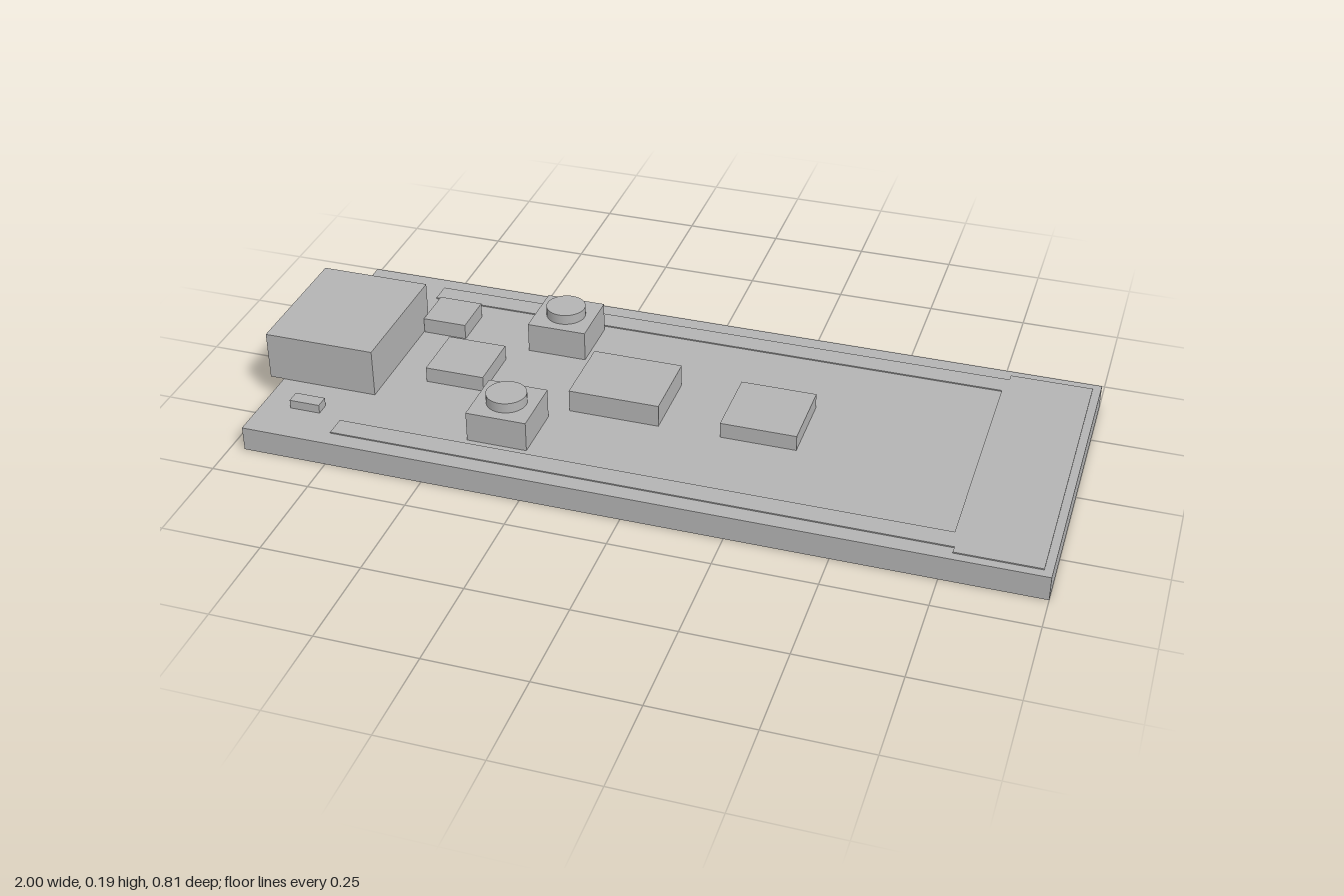
import * as THREE from 'three';

const TOP = 0.0625; // upper face of the board

export function createModel() {
  const grey = new THREE.MeshStandardMaterial({ color: 0xb3b3b3 });
  grey.name = 'plain grey';
  const model = new THREE.Group();
  model.name = 'circuitBoard';

  const add = (name, geometry, x, y, z, parent = model) => {
    const mesh = new THREE.Mesh(geometry, grey);
    mesh.name = name;
    mesh.position.set(x, y, z);
    parent.add(mesh);
    return mesh;
  };
  // Box given by its x range, height range, z centre and depth
  const block = (name, x0, x1, y0, y1, z, depth, parent) =>
    add(name, new THREE.BoxGeometry(x1 - x0, y1 - y0, depth), (x0 + x1) / 2, (y0 + y1) / 2, z, parent);

  // Board
  block('board', -0.964, 1, 0, TOP, 0, 0.806);

  // Thin raised layer: two side rails joined by a wide end strip
  const layer = new THREE.Shape([
    [-0.75, 0.36], [0.775, 0.36], [0.775, 0.38], [0.98, 0.38],
    [0.98, -0.38], [0.775, -0.38], [0.775, -0.36], [-0.75, -0.36],
    [-0.75, -0.305], [0.765, -0.305], [0.765, 0.305], [-0.75, 0.305],
  ].map(([x, z]) => new THREE.Vector2(x, z)));
  const layerGeo = new THREE.ExtrudeGeometry(layer, { depth: 0.003, bevelEnabled: false });
  layerGeo.rotateX(-Math.PI / 2);
  add('raisedTrace', layerGeo, 0, TOP, 0);

  // Connector shell, open towards -x and closed at the inner end
  const w = 0.173, h = 0.124, t = 0.02;
  const rect = (C, x, y0, y1) => {
    const path = new C();
    path.moveTo(-x, y0).lineTo(x, y0).lineTo(x, y1).lineTo(-x, y1).closePath();
    return path;
  };
  const shell = rect(THREE.Shape, w, 0, h);
  shell.holes.push(rect(THREE.Path, w - t, t, h - t));
  const shellGeo = new THREE.ExtrudeGeometry(shell, { depth: 0.284, bevelEnabled: false });
  shellGeo.rotateY(Math.PI / 2);
  const connector = new THREE.Group();
  connector.name = 'connector';
  model.add(connector);
  add('connectorShell', shellGeo, -1, TOP, 0, connector);
  block('connectorBack', -0.736, -0.716, TOP + t, TOP + h - t, 0, 2 * (w - t), connector);

  // Chips
  block('mainChip', -0.232, -0.003, TOP, 0.12, 0, 0.192);
  block('memoryChip', 0.152, 0.342, TOP, 0.1025, 0, 0.192);
  block('regulatorChip', -0.617, -0.465, TOP, 0.1025, 0, 0.155);
  block('smallChip', -0.714, -0.6, TOP, 0.1025, -0.197, 0.115);

  // Push buttons and indicator lights, mirrored front to back
  for (const side of [-1, 1]) {
    const button = new THREE.Group();
    button.name = side > 0 ? 'frontButton' : 'backButton';
    model.add(button);
    block('buttonBase', -0.424, -0.272, TOP, 0.14, side * 0.212, 0.153, button);
    add('buttonCap', new THREE.CylinderGeometry(0.05, 0.05, 0.026, 32), -0.348, 0.153, side * 0.212, button);
    block('indicatorLight', -0.89, -0.812, TOP, 0.085, side * 0.271, 0.035);
  }
  return model;
}
